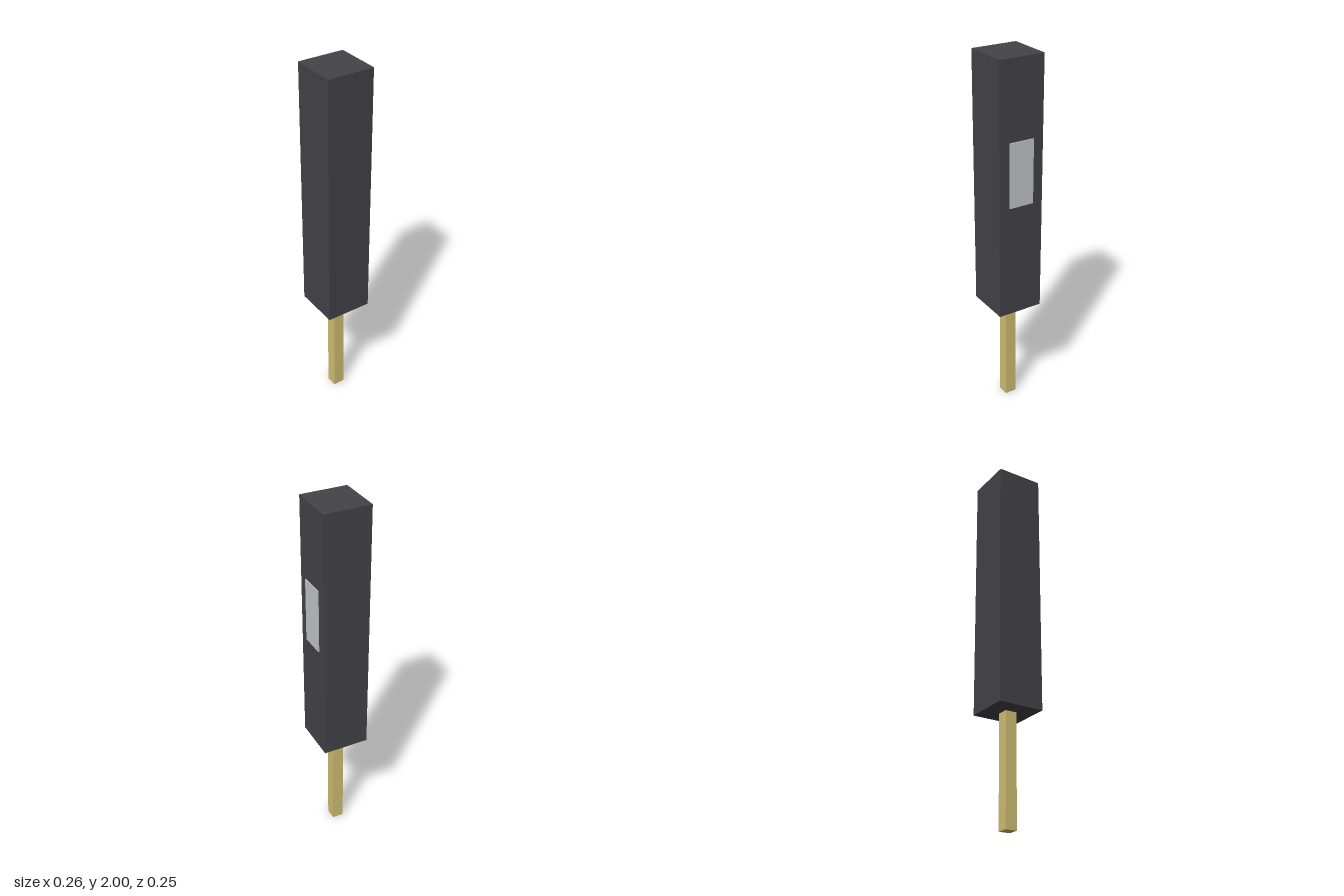
import * as THREE from 'three';

// Box given by its lower and upper corners
function block(name, min, max, color) {
  const lo = new THREE.Vector3(...min), hi = new THREE.Vector3(...max);
  const size = hi.clone().sub(lo);
  const mesh = new THREE.Mesh(
    new THREE.BoxGeometry(size.x, size.y, size.z),
    new THREE.MeshStandardMaterial({ color, flatShading: true })
  );
  mesh.position.copy(lo).add(hi).multiplyScalar(0.5);
  mesh.name = name;
  return mesh;
}

export function createModel() {
  const group = new THREE.Group();
  group.name = 'handheldPaddle';
  group.add(
    // Tall dark body
    block('body', [-0.13, 0.605, -0.1275], [0.124, 2, 0.1275], 0x444348),
    // Thin square stick below the body
    block('stick', [-0.035, 0, -0.032], [0.029, 0.605, 0.032], 0xd2c173),
    // Thin pale panel standing just proud of the left side
    block('sidePanel', [0.115, 1.23, -0.07], [0.13, 1.58, 0.07], 0xc4c9cc)
  );
  return group;
}
